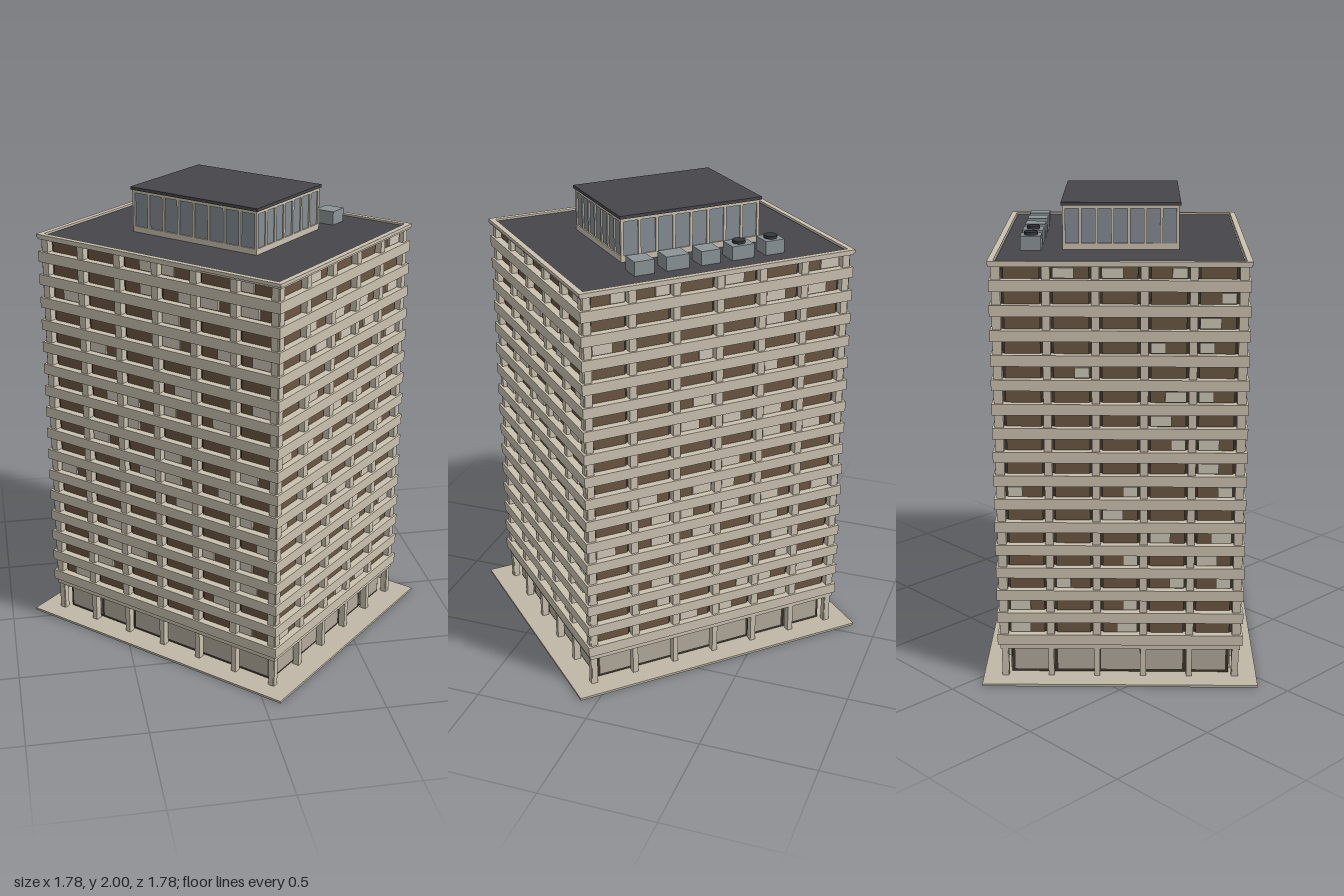
import * as THREE from 'three';
import { mergeGeometries } from 'three/addons/utils/BufferGeometryUtils.js';

const LONG = 1.22, SHORT = 1.04;          // tower plan
const FLOORS = 16, PITCH = 0.102, BASE = 0.16;
const BAND = 0.046;                       // spandrel height

const mat = (color) => new THREE.MeshStandardMaterial({ color, flatShading: true });
const concrete = mat(0xcbc2b0), paving = mat(0xc0b8a8), brown = mat(0x6b5743), dark = mat(0x3d352d);
const blindMat = mat(0xd0c8b8), lobbyMat = mat(0xb3aa9c), roofMat = mat(0x47464b);
const blueGlass = mat(0x848d94), metal = mat(0x8b9497), fanMat = mat(0x34363a);

// Box given by its size, bottom height and plan centre
function box(w, h, d, x, y, z) {
  return new THREE.BoxGeometry(w, h, d).translate(x, y + h / 2, z);
}

// Small repeatable number sequence for the window blinds
function seeded(seed) {
  return () => (seed = (seed * 16807) % 2147483647) / 2147483647;
}

export function createModel() {
  const model = new THREE.Group();
  model.name = 'apartmentTower';
  const building = new THREE.Group();
  building.name = 'building';
  building.rotation.y = -Math.PI / 4;
  model.add(building);

  const add = (name, geometries, material) => {
    const mesh = new THREE.Mesh(mergeGeometries([geometries].flat()), material);
    mesh.name = name;
    building.add(mesh);
  };

  // Paved base and lobby core
  add('plinth', box(1.358, 0.01, 1.166, 0, 0, 0), paving);
  add('lobbyCore', box(LONG - 0.11, 0.13, SHORT - 0.11, 0, 0.01, 0), dark);

  // Recessed core behind the windows
  add('windowCore', box(LONG - 0.08, 1.63, SHORT - 0.08, 0, 0.16, 0), dark);

  // Slab over the lobby, then one projecting band per floor
  add('lobbySlab', box(LONG - 0.02, 0.024, SHORT - 0.02, 0, 0.137, 0), concrete);
  const bands = [];
  for (let i = 0; i < FLOORS; i++) {
    bands.push(box(LONG, BAND, SHORT, 0, BASE + i * PITCH, 0));
  }
  add('floorBands', bands, concrete);

  // Four facades, each drawn facing +z and then turned into place
  const columns = [], posts = [], windows = [], blinds = [], lobbyPanels = [];
  const random = seeded(4711);
  for (let side = 0; side < 4; side++) {
    const even = side % 2 === 0;
    const width = even ? LONG : SHORT;
    const front = (even ? SHORT : LONG) / 2;
    const bays = even ? 6 : 5;
    const bay = (width - 0.06) / bays;
    const place = (list, ...args) => list.push(box(...args).rotateY(side * Math.PI / 2));

    for (let c = 0; c <= bays; c++) {
      const x = (c - bays / 2) * bay;
      place(columns, 0.032, 1.63, 0.035, x, 0.16, front - 0.0265);
      place(posts, 0.024, 0.13, 0.03, x, 0.01, front - 0.03);
    }
    for (let b = 0; b < bays; b++) {
      const x = (b + 0.5 - bays / 2) * bay;
      // Lobby wall panels between dark frames
      const lobbyBay = (width - 0.12) / bays;
      place(lobbyPanels, lobbyBay - 0.014, 0.108, 0.012, (b + 0.5 - bays / 2) * lobbyBay, 0.022, front - 0.055);
      for (let i = 0; i < FLOORS; i++) {
        const y = BASE + i * PITCH + BAND;
        place(windows, bay - 0.052, PITCH - BAND - 0.006, 0.01, x, y, front - 0.037);
        // Pale blinds over part of some windows
        if (random() < 0.36) {
          const w = random() < 0.7 ? 0.085 : 0.06;
          const shift = (random() < 0.5 ? -1 : 1) * ((bay - 0.052) / 2 - w / 2);
          place(blinds, w, 0.042, 0.012, x + shift, y + 0.004, front - 0.03);
        }
      }
    }
  }
  add('facadeColumns', columns, concrete);
  add('lobbyPosts', posts, concrete);
  add('windows', windows, brown);
  add('blinds', blinds, blindMat);
  add('lobbyPanels', lobbyPanels, lobbyMat);

  // Roof deck inside a low parapet
  add('roofEdge', box(LONG, 0.01, SHORT, 0, 1.79, 0), concrete);
  add('roofDeck', box(LONG - 0.05, 0.005, SHORT - 0.05, 0, 1.8, 0), roofMat);
  const parapet = [];
  for (const s of [-1, 1]) {
    parapet.push(box(LONG + 0.008, 0.014, 0.024, 0, 1.798, s * (SHORT / 2 - 0.008)));
    parapet.push(box(0.024, 0.014, SHORT - 0.04, s * (LONG / 2 - 0.008), 1.798, 0));
  }
  add('parapet', parapet, concrete);

  // Glazed rooftop room with a dark flat roof
  const roomL = 0.63, roomS = 0.48;
  add('rooftopGlass', box(roomL - 0.012, 0.18, roomS - 0.012, 0, 1.805, 0), blueGlass);
  add('rooftopBase', box(roomL, 0.027, roomS, 0, 1.803, 0), concrete);
  add('rooftopRoof', box(roomL + 0.012, 0.013, roomS + 0.012, 0, 1.987, 0), roofMat);
  const mullions = [box(roomL, 0.013, roomS, 0, 1.974, 0)];
  for (let side = 0; side < 4; side++) {
    const even = side % 2 === 0;
    const width = (even ? roomL : roomS) - 0.012;
    const panes = even ? 8 : 7;
    for (let m = 0; m <= panes; m++) {
      mullions.push(box(0.012, 0.15, 0.012, (m / panes - 0.5) * width, 1.827, (even ? roomS : roomL) / 2 - 0.006)
        .rotateY(side * Math.PI / 2));
    }
  }
  add('rooftopMullions', mullions, concrete);

  // Row of cooling units, two of them with fans
  const units = [], fans = [];
  for (let i = 0; i < 5; i++) {
    const x = (i - 2) * 0.147 - 0.003, size = i % 2 ? 0.1 : 0.086;
    units.push(box(size, 0.06, 0.086, x, 1.804, -0.37));
    if (i < 2) {
      fans.push(new THREE.CylinderGeometry(0.028, 0.028, 0.012, 12).translate(x, 1.87, -0.37));
    }
  }
  add('coolingUnits', units, metal);
  add('coolingFans', fans, fanMat);

  return model;
}
